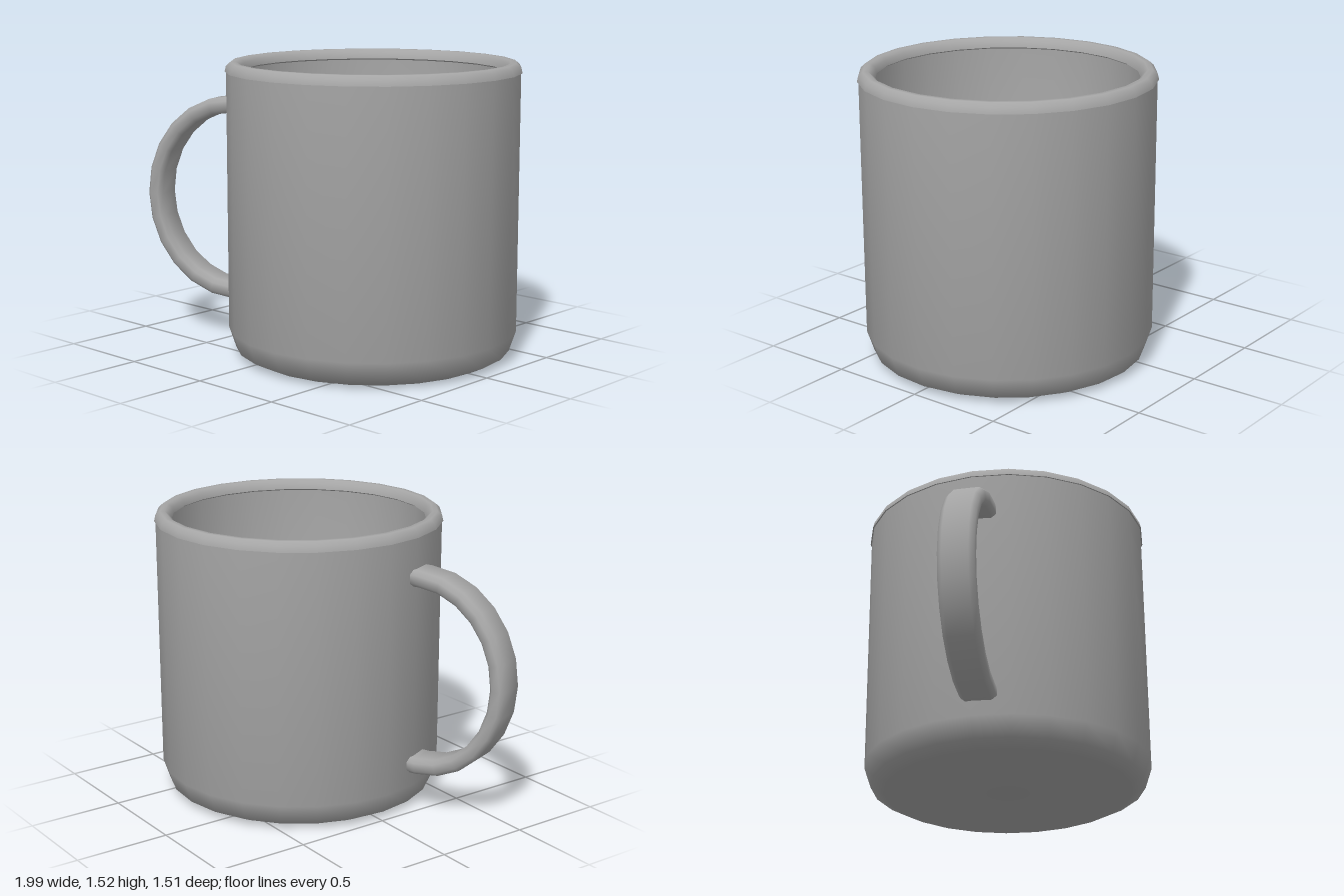
import * as THREE from 'three';
import { toCreasedNormals } from 'three/addons/utils/BufferGeometryUtils.js';

const SIDES = 24;

export function createModel() {
  const model = new THREE.Group();
  model.name = 'mug';
  const grey = new THREE.MeshStandardMaterial({ color: 0xa6a6a6 });
  grey.name = 'grey ceramic';

  const axis = new THREE.Group();
  axis.name = 'mugAxis';
  axis.position.x = 0.242;
  model.add(axis);

  const add = (name, geometry, crease) => {
    const mesh = new THREE.Mesh(toCreasedNormals(geometry, crease), grey);
    mesh.name = name;
    axis.add(mesh);
    return mesh;
  };
  const lathe = (profile) => new THREE.LatheGeometry(
    profile.map(([r, y]) => new THREE.Vector2(r, y)), SIDES, THREE.MathUtils.degToRad(2));

  // Cup: underside, bevelled foot, outer wall, inner wall and floor
  add('cup', lathe([
    [0, 0], [0.645, 0], [0.715, 0.035], [0.75, 0.14], [0.75, 1.48],
    [0.68, 1.48], [0.68, 0.17], [0.65, 0.1], [0.58, 0.07], [0, 0.07],
  ]), 0.95);

  // Rounded lip
  add('rim', lathe([
    [0.745, 1.47], [0.757, 1.47], [0.75, 1.5], [0.727, 1.52], [0.7, 1.52],
    [0.677, 1.5], [0.669, 1.47], [0.685, 1.46],
  ]), 1.0);

  // Handle: a rounded band swept along half an ellipse
  const handle = add('handle', handleGeometry(), 1.1);
  handle.rotation.y = THREE.MathUtils.degToRad(200);

  return model;
}

function handleGeometry() {
  const cx = 0.78, cy = 0.763, a = 0.463, b = 0.503, steps = 12;
  // Section points: outward offset, sideways offset
  const section = [
    [0.043, -0.065], [0.043, 0.065], [0.022, 0.09], [-0.022, 0.09],
    [-0.043, 0.065], [-0.043, -0.065], [-0.022, -0.09], [0.022, -0.09],
  ];
  const rings = [[0.735, cy - b, 0, -1]];
  for (let i = 0; i <= steps; i++) {
    const t = -Math.PI / 2 + (Math.PI * i) / steps;
    const n = new THREE.Vector2(Math.cos(t) / a, Math.sin(t) / b).normalize();
    rings.push([cx + a * Math.cos(t), cy + b * Math.sin(t), n.x, n.y]);
  }
  rings.push([0.735, cy + b, 0, 1]);

  const positions = [], index = [], k = section.length;
  rings.forEach(([x, y, nx, ny], i) => {
    section.forEach(([out, side], j) => {
      positions.push(x + nx * out, y + ny * out, side);
      if (i === rings.length - 1) return;
      const p = i * k + j, q = i * k + ((j + 1) % k);
      index.push(p, p + k, q, q, p + k, q + k);
    });
  });
  // End caps
  const last = (rings.length - 1) * k;
  for (let j = 1; j < k - 1; j++) {
    index.push(0, j, j + 1, last, last + j + 1, last + j);
  }
  const geometry = new THREE.BufferGeometry();
  geometry.setAttribute('position', new THREE.Float32BufferAttribute(positions, 3));
  geometry.setIndex(index);
  return geometry;
}
